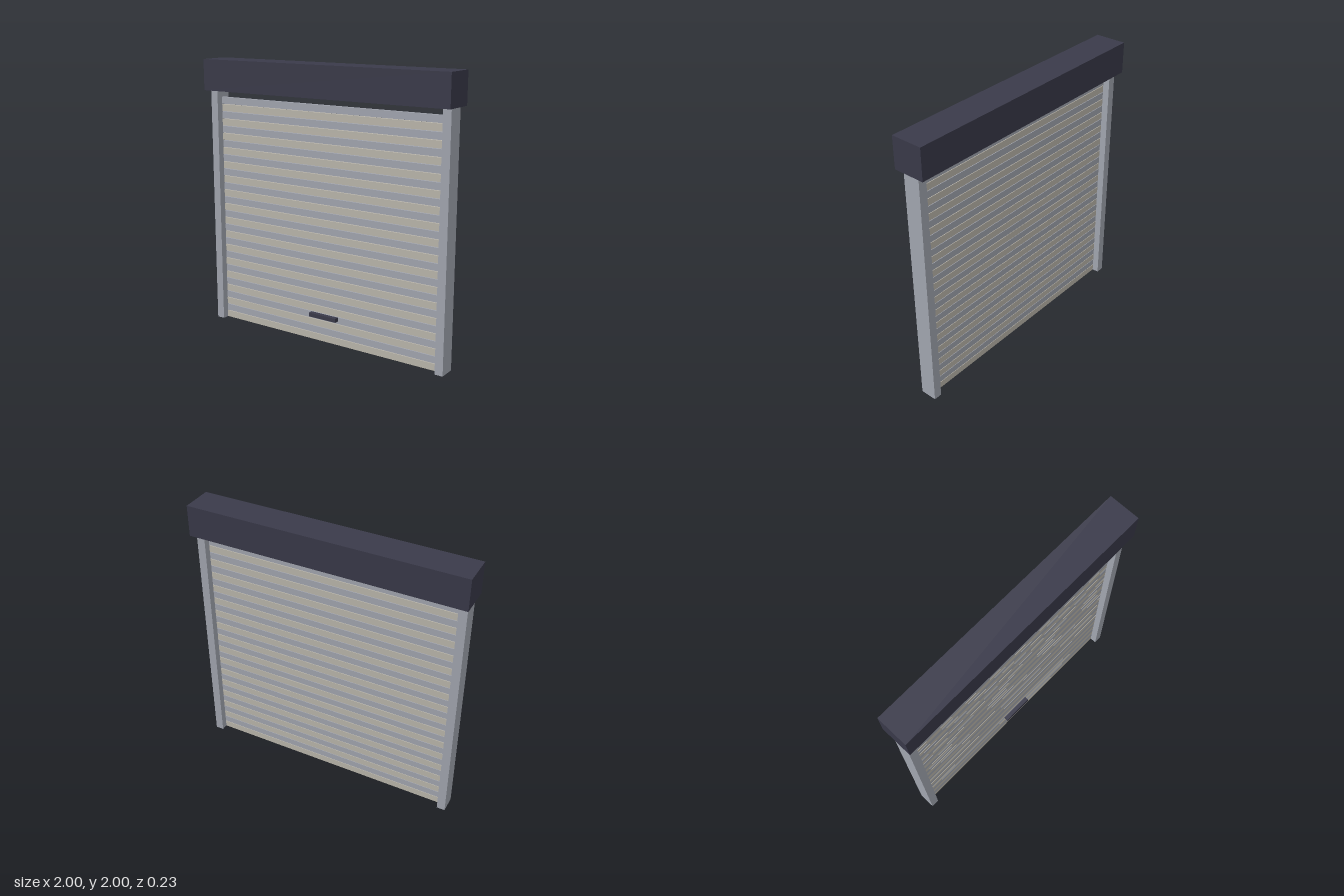
import * as THREE from 'three';

export function createModel() {
  const model = new THREE.Group();
  const paint = (name, color) => {
    const m = new THREE.MeshStandardMaterial({ color });
    m.name = name;
    return m;
  };
  const dark = paint('dark slate', 0x3a3a4a);
  const grey = paint('cool grey', 0xa4a8b2);
  const beige = paint('warm beige', 0xbdb9ae);

  // Box placed by its centre in x and z and by its bottom in y
  const addBox = (name, material, [w, h, d], [x, y, z], parent = model) => {
    const mesh = new THREE.Mesh(new THREE.BoxGeometry(w, h, d), material);
    mesh.name = name;
    mesh.position.set(x, y + h / 2, z);
    parent.add(mesh);
  };

  // Housing for the rolled-up shutter
  addBox('housing', dark, [2, 0.226, 0.23], [0, 1.774, 0]);

  // Side guide rails
  for (const side of [-1, 1]) {
    addBox(side > 0 ? 'leftRail' : 'rightRail', grey, [0.06, 1.774, 0.123], [side * 0.952, 0, 0]);
  }

  // Curtain of alternating slats with narrow gaps
  const curtain = new THREE.Group();
  curtain.name = 'curtain';
  model.add(curtain);
  const slatCount = 32, pitch = 0.0539, slatHeight = 0.05;
  for (let i = 0; i < slatCount; i++) {
    addBox(`slat${i + 1}`, i % 2 ? grey : beige, [1.846, slatHeight, 0.024], [0, i * pitch, 0], curtain);
  }

  // Pull handle on the front
  addBox('handle', dark, [0.23, 0.03, 0.035], [0, 0.181, 0.028]);

  return model;
}
